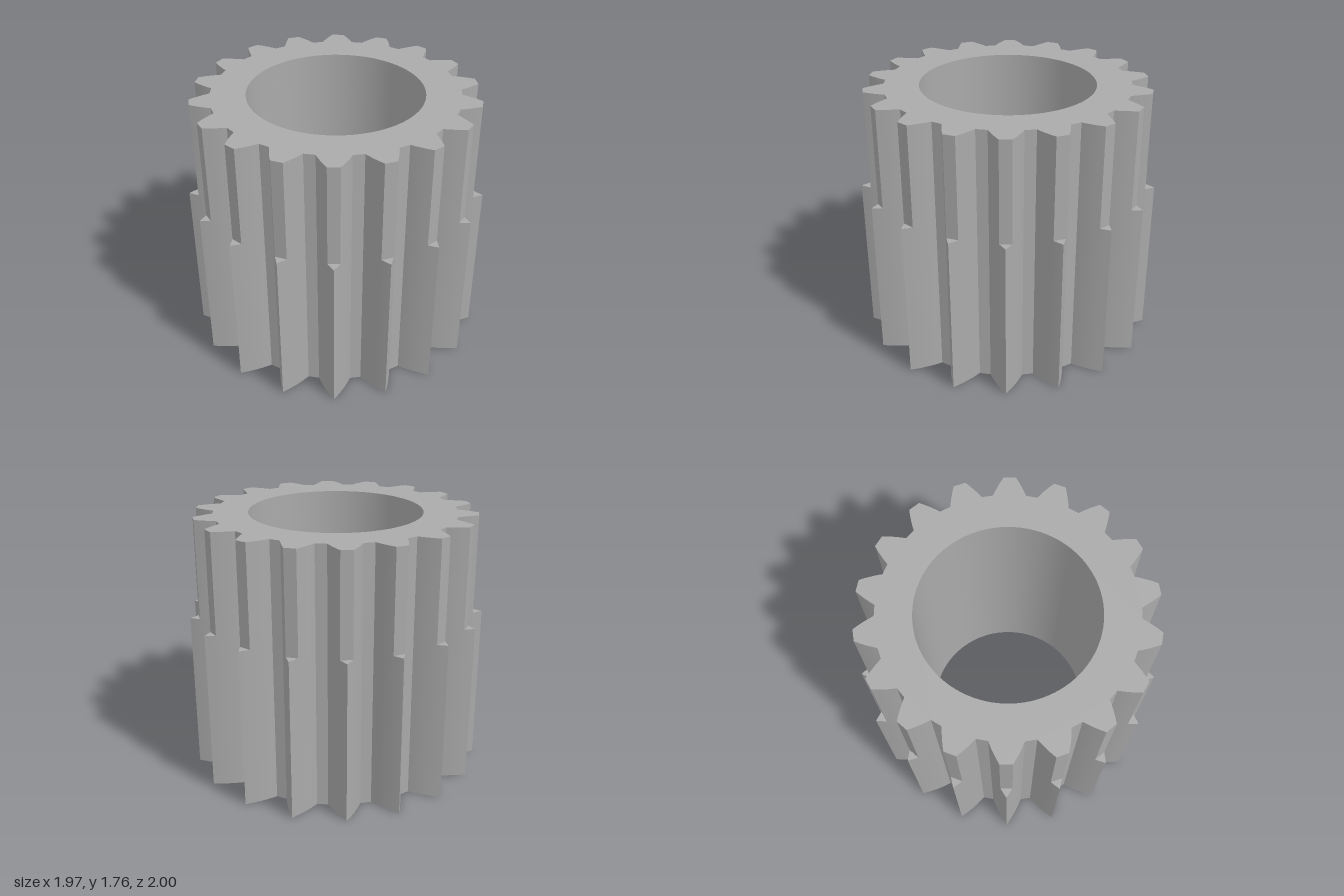
import * as THREE from 'three';
import { toCreasedNormals } from 'three/addons/utils/BufferGeometryUtils.js';

const TEETH = 18;
const BORE = 0.58;
const STEP_Y = 1.085;
const TOP_Y = 1.76;
const CUT = 0.94; // height at which the upper teeth are truncated

// Half width of a tooth at distance u from the axis
const halfWidth = (u) => THREE.MathUtils.lerp(0, 0.105, (1 - u) / 0.195) + 0.85 * (1 - u) * (u - 0.805);
const FLANK = [0.805, 0.835, 0.87, 0.905, CUT, 0.97, 1];

// Outline of one tooth between two heights, pointing along +z, then turned by its index
function toothPoints(index, from, to) {
  const us = FLANK.filter((u) => u >= from && u <= to);
  const left = us.map((u) => [-halfWidth(u), u]);
  const right = us.map((u) => [halfWidth(u), u]).reverse();
  if (to === 1) right.shift(); // both flanks share the sharp tip
  const a = (index * 2 * Math.PI) / TEETH;
  return [...left, ...right].map(([x, z]) => new THREE.Vector2(
    x * Math.cos(a) + z * Math.sin(a), z * Math.cos(a) - x * Math.sin(a)));
}

function gearOutline(to) {
  const points = [];
  for (let i = 0; i < TEETH; i++) points.push(...toothPoints(i, 0, to));
  return points;
}

// Upright wall along a closed outline, facing outward (or inward when reversed)
function wall(outline, y0, y1) {
  const pos = [];
  outline.forEach((p, i) => {
    const q = outline[(i + 1) % outline.length];
    pos.push(p.x, y0, p.y, q.x, y0, q.y, q.x, y1, q.y);
    pos.push(p.x, y0, p.y, q.x, y1, q.y, p.x, y1, p.y);
  });
  const g = new THREE.BufferGeometry();
  g.setAttribute('position', new THREE.Float32BufferAttribute(pos, 3));
  return toCreasedNormals(g, 0.25);
}

// Flat face at height y, looking up or down
function cap(outlines, y, up, hole) {
  const s = up ? -1 : 1;
  const flip = (pts) => pts.map((p) => new THREE.Vector2(p.x, s * p.y));
  const shapes = outlines.map((o) => {
    const shape = new THREE.Shape(flip(o));
    if (hole) shape.holes.push(new THREE.Path(flip(hole)));
    return shape;
  });
  return new THREE.ShapeGeometry(shapes).rotateX(s * Math.PI / 2).translate(0, y, 0);
}

export function createModel() {
  const group = new THREE.Group();
  const steel = new THREE.MeshStandardMaterial({ color: 0xaaaaaa });
  steel.name = 'grey steel';
  const add = (name, geometry) => {
    const mesh = new THREE.Mesh(geometry, steel);
    mesh.name = name;
    group.add(mesh);
  };

  const full = gearOutline(1);
  const truncated = gearOutline(CUT);
  const bore = Array.from({ length: 96 }, (_, i) => {
    const a = (i * 2 * Math.PI) / 96;
    return new THREE.Vector2(BORE * Math.sin(a), BORE * Math.cos(a));
  });
  const tips = Array.from({ length: TEETH }, (_, i) => toothPoints(i, CUT, 1));

  // Toothed sides
  add('lowerTeeth', wall(full, 0, STEP_Y));
  add('upperTeeth', wall(truncated, STEP_Y, TOP_Y));
  // Ledges where the teeth step in
  add('toothLedges', cap(tips, STEP_Y, true));
  // End faces and central hole
  add('bottomFace', cap([full], 0, false, bore));
  add('topFace', cap([truncated], TOP_Y, true, bore));
  add('bore', wall([...bore].reverse(), 0, TOP_Y));

  return group;
}
